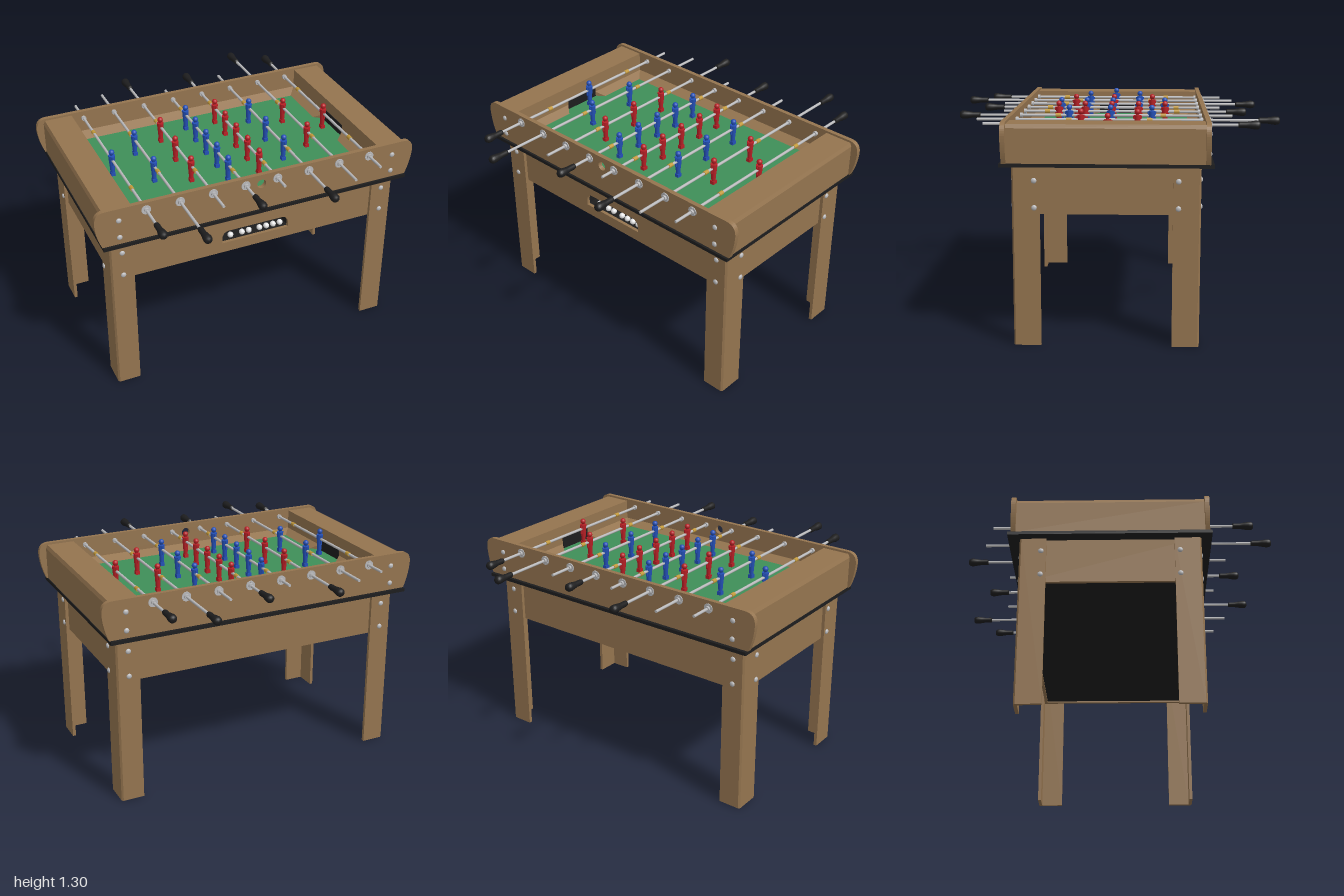
import * as THREE from 'three';

const mat = (name, color, side = THREE.FrontSide) => {
  const m = new THREE.MeshStandardMaterial({ color, side });
  m.name = name;
  return m;
};

export function createModel() {
  const root = new THREE.Group();
  root.name = 'footballTable';
  const wood = mat('wood', 0x94744f), black = mat('black', 0x1d1d1e), green = mat('fieldGreen', 0x3f8f58);
  const steel = mat('steel', 0xb9b9bb), red = mat('red', 0xb92026), blue = mat('blue', 0x2450b8);
  const white = mat('white', 0xe6e6e6), brass = mat('brass', 0xc39a3c);

  const add = (name, geo, material, x = 0, y = 0, z = 0, parent = root) => {
    const m = new THREE.Mesh(geo, material);
    m.name = name;
    m.position.set(x, y, z);
    parent.add(m);
    return m;
  };
  const box = (name, material, w, h, d, x, y, z, parent) =>
    add(name, new THREE.BoxGeometry(w, h, d), material, x, y, z, parent);
  const poly = (pts) => new THREE.Shape(pts.map(([x, y]) => new THREE.Vector2(x, y)));
  const extrude = (shape, depth) => new THREE.ExtrudeGeometry(shape, { depth, bevelEnabled: false, curveSegments: 10 });
  const rodGeo = (r, length, sides = 14) => new THREE.CylinderGeometry(r, r, length, sides).rotateX(Math.PI / 2);
  const signs = [-1, 1];

  // L-section legs with chamfered outer corners
  for (const sx of signs) for (const sz of signs) {
    const outline = [[0.77, 0.525], [0.9, 0.525], [0.91, 0.515], [0.91, 0.37],
      [0.89, 0.37], [0.89, 0.505], [0.77, 0.505]].map(([x, z]) => [x * sx, -z * sz]);
    add('leg', extrude(poly(outline), 1.035).rotateX(-Math.PI / 2), wood);
  }

  // Apron boards, the front one with the ball return opening
  const apron = poly([[-0.89, 0.76], [0.89, 0.76], [0.89, 1.035], [-0.89, 1.035]]);
  const slot = new THREE.Path();
  slot.moveTo(-0.215, 0.825);
  slot.lineTo(0.215, 0.825);
  slot.lineTo(0.215, 0.86);
  slot.quadraticCurveTo(0.21, 0.905, 0.165, 0.905);
  slot.lineTo(-0.165, 0.905);
  slot.quadraticCurveTo(-0.21, 0.905, -0.215, 0.86);
  slot.closePath();
  apron.holes.push(slot);
  add('frontApron', extrude(apron, 0.02), wood, 0, 0, 0.485);
  box('backApron', wood, 1.78, 0.275, 0.02, 0, 0.8975, -0.495);
  for (const s of signs) box('sideApron', wood, 0.02, 0.275, 0.97, s * 0.88, 0.8975, 0);
  box('bottomPanel', black, 1.74, 0.01, 0.97, 0, 0.775, 0);

  // Ball return tray and balls
  box('trayFloor', black, 0.46, 0.008, 0.1, 0, 0.821, 0.435);
  box('trayCeiling', black, 0.46, 0.008, 0.1, 0, 0.91, 0.435);
  box('trayBack', black, 0.46, 0.1, 0.008, 0, 0.865, 0.385);
  for (const s of signs) box('traySide', black, 0.008, 0.1, 0.1, s * 0.224, 0.865, 0.435);
  for (const x of [-0.145, -0.07, -0.025, 0.045, 0.09, 0.135, 0.18])
    add('ball', new THREE.SphereGeometry(0.018, 16, 12), white, x, 0.843, 0.465);

  // Black base slab under the play box
  box('baseTrim', black, 1.92, 0.02, 1.18, 0, 1.045, -0.003);

  // Long side panels, the front one with the ball entry hole
  for (const s of signs) {
    const p = new THREE.Shape();
    p.moveTo(-0.962, 1.055);
    p.lineTo(0.962, 1.055);
    p.quadraticCurveTo(0.995, 1.13, 1, 1.215);
    p.quadraticCurveTo(1, 1.285, 0.935, 1.285);
    p.lineTo(-0.935, 1.285);
    p.quadraticCurveTo(-1, 1.285, -1, 1.215);
    p.quadraticCurveTo(-0.995, 1.13, -0.962, 1.055);
    if (s > 0) {
      const hole = new THREE.Path();
      hole.absarc(0, 1.225, 0.028, 0, Math.PI * 2, true);
      p.holes.push(hole);
    }
    add(s > 0 ? 'frontPanel' : 'backPanel', extrude(p, 0.027), wood, 0, 0, s > 0 ? 0.546 : -0.573);
  }

  // End boxes with a chamfered outer top edge
  for (const s of signs) {
    const profile = poly([[0.775, 1.055], [0.955, 1.055], [0.955, 1.25], [0.945, 1.272], [0.775, 1.272]]
      .map(([x, y]) => [x * s, y]));
    add('endBox', extrude(profile, 1.092), wood, 0, 0, -0.546);
    box('goalMouth', black, 0.006, 0.075, 0.24, s * 0.774, 1.158, 0);
  }

  // Playing field and the sloped ledges around it, open at the goals
  box('field', green, 1.55, 0.02, 1.092, 0, 1.11, 0);
  for (const s of signs) {
    const tri = poly([[-s * 0.48, 1.118], [-s * 0.546, 1.118], [-s * 0.546, 1.15]]);
    add('sideLedge', extrude(tri, 1.55).rotateY(Math.PI / 2), wood, -0.775);
    for (const sz of signs) {
      const end = extrude(poly([[s * 0.72, 1.118], [s * 0.775, 1.118], [s * 0.775, 1.15]]), 0.381);
      end.translate(0, 0, sz > 0 ? 0.165 : -0.546);
      const pos = end.attributes.position;
      for (let i = 0; i < pos.count; i++) // taper toward the goal
        if (Math.abs(pos.getZ(i)) < 0.17)
          pos.setZ(i, sz * (0.165 - (Math.abs(pos.getX(i)) - 0.72) * 0.8));
      end.computeVertexNormals();
      add('endLedge', end, wood);
    }
  }

  // Domed bolts on legs and panels
  const dome = new THREE.SphereGeometry(0.016, 14, 8).scale(1, 1, 0.6);
  const sideDome = new THREE.SphereGeometry(0.016, 14, 8).scale(0.6, 1, 1);
  for (const sx of signs) for (const sz of signs) {
    for (const y of [0.8, 0.953]) {
      add('legBolt', dome, steel, sx * 0.837, y, sz * 0.526);
      add('legBolt', sideDome, steel, sx * 0.911, y, sz * 0.4);
    }
    for (const y of [1.1, 1.21]) add('panelBolt', dome, steel, sx * 0.86, y, sz * 0.574);
  }

  // One player hanging on a rod
  const makePlayer = (material) => {
    const g = new THREE.Group();
    g.name = 'player';
    add('head', new THREE.SphereGeometry(0.017, 14, 10), material, 0, 0.048, 0, g);
    add('neck', new THREE.CylinderGeometry(0.008, 0.01, 0.02, 10), material, 0, 0.03, 0, g);
    add('torso', new THREE.CylinderGeometry(0.021, 0.017, 0.055, 14), material, 0, 0, 0, g);
    for (const s of signs)
      add('arm', new THREE.CylinderGeometry(0.007, 0.006, 0.055, 8), material, 0, -0.004, s * 0.019, g);
    add('legs', new THREE.CylinderGeometry(0.017, 0.012, 0.07, 10), material, 0, -0.06, 0, g);
    box('foot', material, 0.026, 0.022, 0.03, 0, -0.096, 0, g);
  };

  const player = (material, x, z) => {
    const g = new THREE.Group();
    g.name = 'player';
    add('head', new THREE.SphereGeometry(0.017, 14, 10), material, 0, 0.048, 0, g);
    add('neck', new THREE.CylinderGeometry(0.008, 0.01, 0.02, 10), material, 0, 0.03, 0, g);
    add('torso', new THREE.CylinderGeometry(0.021, 0.017, 0.055, 14), material, 0, 0, 0, g);
    for (const s of signs)
      add('arm', new THREE.CylinderGeometry(0.007, 0.006, 0.055, 8), material, 0, -0.004, s * 0.019, g);
    add('legs', new THREE.CylinderGeometry(0.017, 0.012, 0.07, 10), material, 0, -0.06, 0, g);
    box('foot', material, 0.026, 0.022, 0.03, 0, -0.096, 0, g);
    g.position.set(x, 1.24, z);
    root.add(g);
  };

  // Rods: x, team, player spots, stop spring position, handle side, handle tip, plain end
  const grip = new THREE.LatheGeometry([[0, 0], [0.015, 0], [0.017, 0.01], [0.017, 0.045], [0.021, 0.07],
    [0.025, 0.095], [0.024, 0.113], [0.016, 0.124], [0, 0.126]].map(([r, y]) => new THREE.Vector2(r, y)), 18);
  const three = [-0.248, 0, 0.248], two = [-0.165, 0.165], five = [-0.328, -0.165, 0, 0.165, 0.328];
  const rods = [
    [-0.7, blue, [0], 0.34, 1, 0.855, 0.71],
    [-0.5, blue, two, 0.235, 1, 0.985, 0.78],
    [-0.3, red, three, 0.315, -1, 0.915, 0.72],
    [-0.1, blue, five, 0.4, 1, 0.82, 0.675],
    [0.1, red, five, 0.4, -1, 0.828, 0.67],
    [0.3, blue, three, 0.315, 1, 0.91, 0.728],
    [0.5, red, two, 0.235, -1, 0.99, 0.775],
    [0.7, red, [0], 0.34, -1, 0.86, 0.71],
  ];
  for (const [x, team, spots, stop, side, tip, end] of rods) {
    const inner = tip - 0.12;
    add('rod', rodGeo(0.0085, inner + end), steel, x, 1.24, side * (inner - end) / 2);
    const handle = add('handle', grip, black, x, 1.24, side * (tip - 0.126));
    handle.rotation.x = side * Math.PI / 2;
    for (const z of spots) player(team, x, z);
    for (const s of signs) {
      add('stopSpring', rodGeo(0.0125, 0.032), brass, x, 1.24, s * stop);
      // Bearing: flange, hub and three screws
      add('bearingFlange', rodGeo(0.028, 0.005, 20), steel, x, 1.24, s * 0.575);
      add('bearingHub', rodGeo(0.015, 0.06), steel, x, 1.24, s * 0.56);
      for (let i = 0; i < 3; i++) {
        const a = Math.PI / 2 + i * Math.PI * 2 / 3;
        add('bearingScrew', rodGeo(0.005, 0.006, 8), steel, x + 0.021 * Math.cos(a), 1.24 + 0.021 * Math.sin(a), s * 0.578);
      }
    }
  }
  return root;
}
